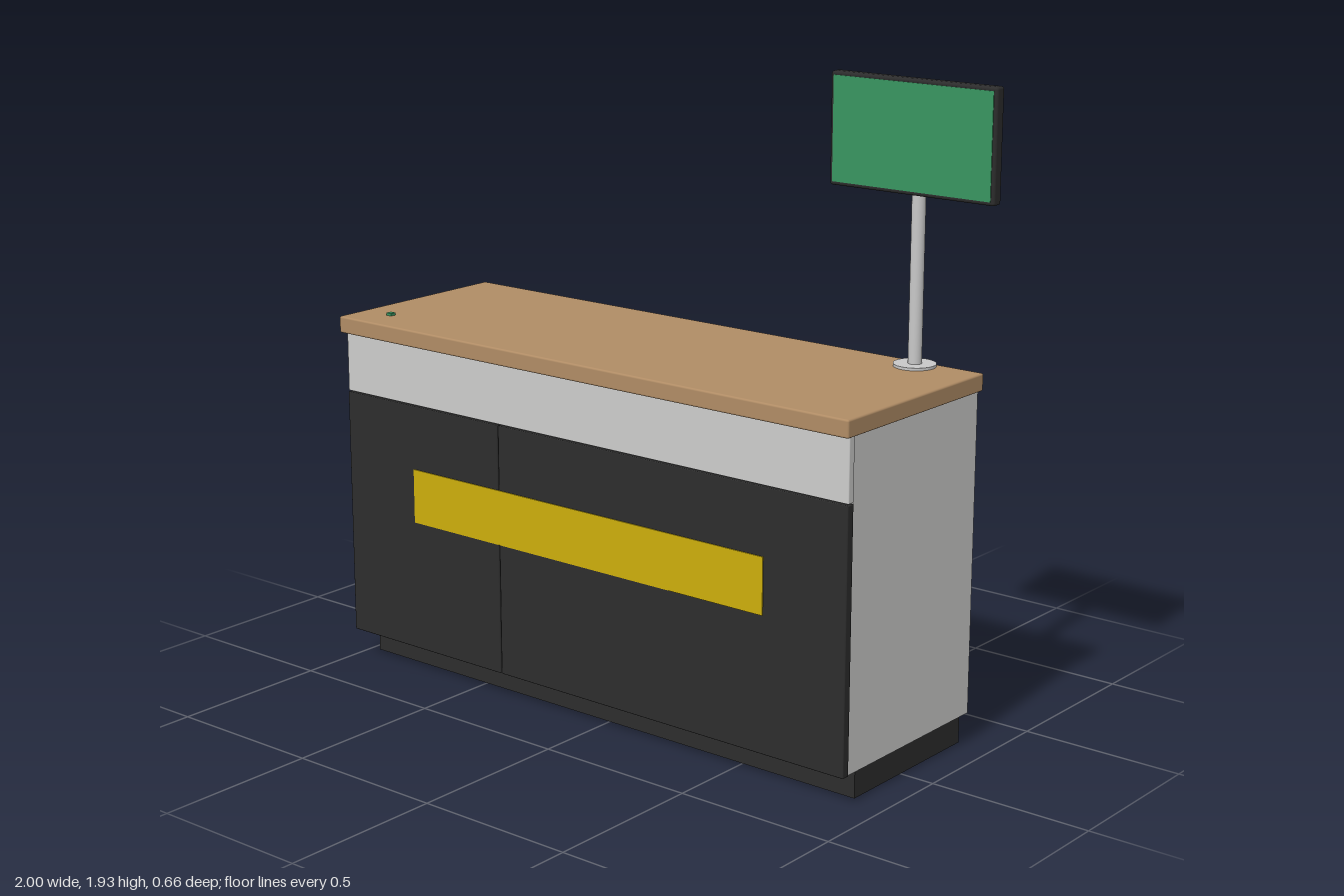
import * as THREE from 'three';
import { RoundedBoxGeometry } from 'three/addons/geometries/RoundedBoxGeometry.js';

const material = (name, color) => {
  const m = new THREE.MeshStandardMaterial({ color });
  m.name = name;
  return m;
};

export function createModel() {
  const group = new THREE.Group();
  group.name = 'serviceCounter';
  const wood = material('wood', 0xb08c65);
  const grey = material('light grey laminate', 0xcccccb);
  const dark = material('charcoal', 0x2c2c2c);
  const yellow = material('yellow', 0xccae0c);
  const green = material('green', 0x389560);
  const metal = material('metal', 0xc8c8c8);

  const add = (name, geometry, mat) => {
    const mesh = new THREE.Mesh(geometry, mat);
    mesh.name = name;
    group.add(mesh);
    return mesh;
  };
  // Box from its limits on each axis, with optional rounded edges
  const box = (name, mat, [x0, x1], [y0, y1], [z0, z1], r = 0) => {
    const size = [x1 - x0, y1 - y0, z1 - z0];
    const g = r ? new RoundedBoxGeometry(...size, 2, r) : new THREE.BoxGeometry(...size);
    g.translate((x0 + x1) / 2, (y0 + y1) / 2, (z0 + z1) / 2);
    return add(name, g, mat);
  };
  const rectangle = (path, x0, x1, y0, y1) =>
    path.moveTo(x0, y0).lineTo(x1, y0).lineTo(x1, y1).lineTo(x0, y1).closePath();

  // Recessed base
  box('plinth', dark, [-0.97, 0.89], [0, 0.09], [-0.3, 0.225]);

  // Cabinet body with a storage niche open to the back
  const outline = rectangle(new THREE.Shape(), -0.985, 0.905, 0.09, 1.06);
  outline.holes.push(rectangle(new THREE.Path(), -0.425, 0.338, 0.2, 0.685));
  const carcass = new THREE.ExtrudeGeometry(outline, { depth: 0.585, bevelEnabled: false });
  carcass.translate(0, 0, -0.32);
  add('cabinetBody', carcass, grey);
  box('nicheBackWall', grey, [-0.985, 0.905], [0.09, 1.06], [0.265, 0.28]);
  box('nicheShelf', wood, [-0.425, 0.338], [0.43, 0.453], [-0.313, 0.265]);

  // Front panels: light band above two dark panels with a fine seam
  box('upperFrontPanel', grey, [-0.99, 0.91], [0.873, 1.06], [0.284, 0.308], 0.003);
  for (const [name, x0, x1] of [['smallFrontPanel', -0.99, -0.361], ['largeFrontPanel', -0.358, 0.91]])
    box(name, dark, [x0, x1], [0.09, 0.87], [0.284, 0.31], 0.003);
  box('frontStripe', yellow, [-0.71, 0.63], [0.5, 0.67], [0.309, 0.313]);

  // Worktop with a small button
  box('worktop', wood, [-1, 0.92], [1.06, 1.112], [-0.325, 0.33], 0.006);
  box('button', green, [-0.895, -0.875], [1.11, 1.12], [0.21, 0.23]);

  // Display on a round post
  const flange = add('postFlange', new THREE.CylinderGeometry(0.062, 0.062, 0.008, 40), metal);
  flange.position.set(0.722, 1.116, -0.272);
  const post = add('displayPost', new THREE.CylinderGeometry(0.02, 0.02, 0.64, 32), metal);
  post.position.set(0.722, 1.43, -0.272);
  box('displayHousing', dark, [0.45, 1], [1.61, 1.935], [-0.257, -0.22], 0.008);
  box('displayScreen', green, [0.461, 0.989], [1.621, 1.924], [-0.222, -0.218]);

  return group;
}
